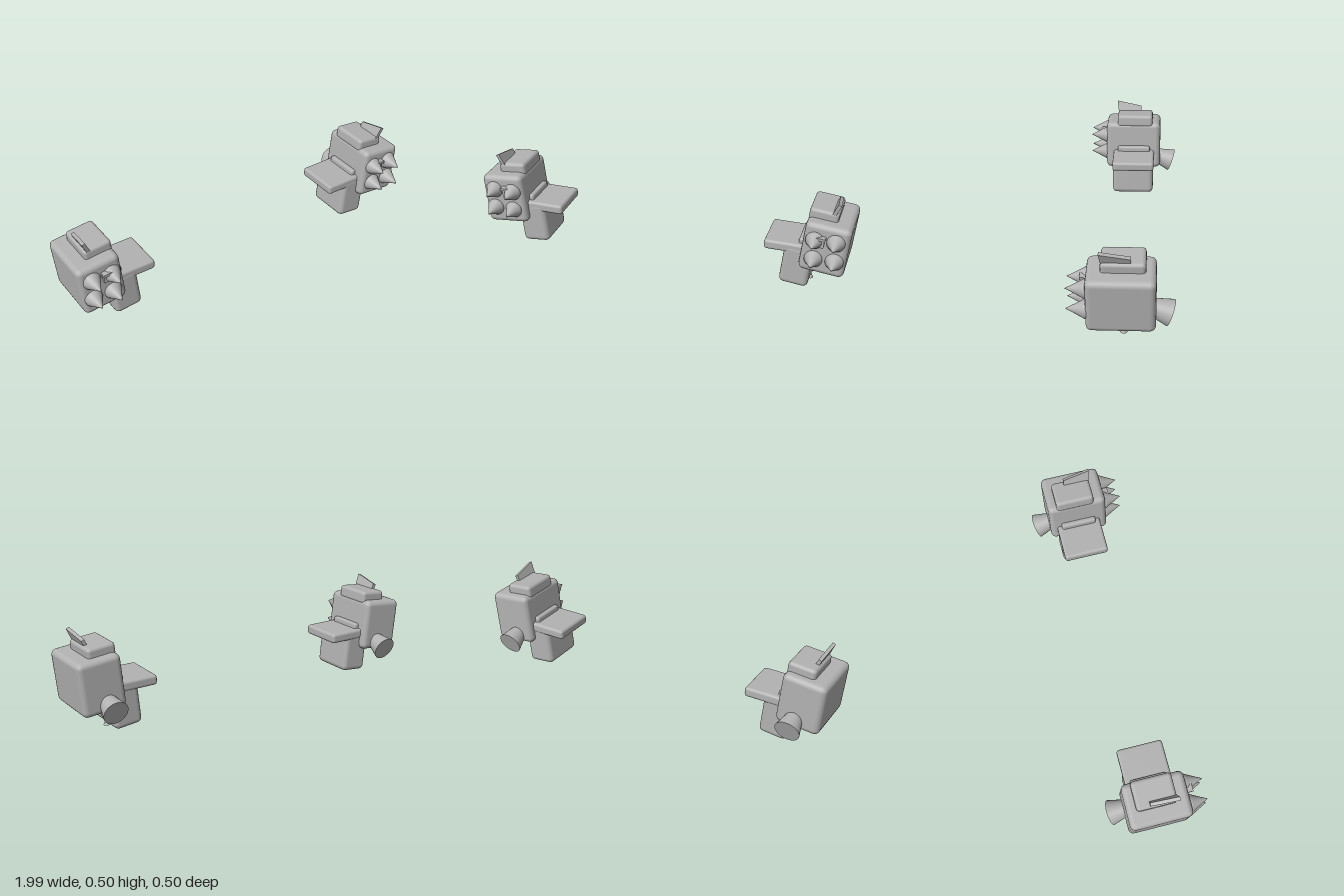
import * as THREE from 'three';
import { RoundedBoxGeometry } from 'three/addons/geometries/RoundedBoxGeometry.js';

const TILT = 0.1;

export function createModel() {
  const model = new THREE.Group();
  model.name = 'shoulderPods';
  const grey = new THREE.MeshStandardMaterial({ color: 0xb2b2b2 });
  grey.name = 'grey';

  // Builds one pod; s = 1 for the left (+x) side, -1 for the right
  function buildSide(s) {
    const side = new THREE.Group();
    side.name = s > 0 ? 'leftPod' : 'rightPod';

    const add = (name, geo, x, y, z, rz = 0) => {
      const mesh = new THREE.Mesh(geo, grey);
      mesh.name = name;
      mesh.position.set(s * x, y, z);
      mesh.rotation.z = s * rz;
      side.add(mesh);
      return mesh;
    };
    const box = (w, h, d, r) => new RoundedBoxGeometry(w, h, d, 2, r);

    // Launcher body with the raised cap on its roof
    add('launcherBody', box(0.23, 0.275, 0.318, 0.028), 0.868, 0.267, -0.002, -TILT);
    add('roofCap', box(0.148, 0.07, 0.206, 0.018), 0.843, 0.419, -0.011, -TILT);

    // Leaning roof fin, profile drawn in (z, y)
    const profile = new THREE.Shape([
      [-0.047, -0.01], [0.088, -0.01], [0.098, 0.07], [-0.046, 0.041],
    ].map(([z, y]) => new THREE.Vector2(z, y)));
    const fin = new THREE.ExtrudeGeometry(profile, { depth: 0.018, bevelEnabled: false });
    fin.translate(0, 0, -0.009).rotateY(-Math.PI / 2);
    add('roofFin', fin, 0.892, 0.436, 0, -0.4);

    // Four warheads on the front face
    const warhead = new THREE.LatheGeometry([
      [0.046, -0.02], [0.046, 0.012], [0.042, 0.018], [0.02, 0.06], [0, 0.1],
    ].map(([r, y]) => new THREE.Vector2(r, y)), 24).rotateX(Math.PI / 2);
    for (const x of [0.817, 0.922])
      for (const y of [0.216, 0.322]) add('warhead', warhead, x, y, 0.15);

    // Sensor bracket between the upper warheads
    add('sensorStem', new THREE.BoxGeometry(0.034, 0.05, 0.03), 0.85, 0.318, 0.16, -TILT);
    add('sensorHood', new THREE.BoxGeometry(0.046, 0.014, 0.045), 0.85, 0.344, 0.165, -TILT);

    // Exhaust flaring backwards and down
    const exhaust = new THREE.CylinderGeometry(0.065, 0.036, 0.115, 32);
    exhaust.rotateX(-Math.PI / 2 - 0.34);
    add('exhaust', exhaust, 0.84, 0.17, -0.173);

    // Arm block, shoulder plate and hinge bar
    add('armBlock', box(0.15, 0.225, 0.238, 0.026), 0.725, 0.126, -0.002, -TILT);
    add('shoulderPlate', box(0.21, 0.052, 0.24, 0.015), 0.66, 0.227, -0.005);
    add('hingeBar', box(0.036, 0.06, 0.19, 0.012), 0.745, 0.25, -0.005, -TILT);

    // Strut and small spike on the outer face of the arm block
    const strut = new THREE.LatheGeometry([
      [0, -0.055], [0.01, -0.045], [0.017, -0.02], [0.02, 0.01], [0.02, 0.06],
    ].map(([r, y]) => new THREE.Vector2(r, y)), 20);
    add('strut', strut, 0.802, 0.092, -0.009, -TILT);
    add('strutSpike', new THREE.ConeGeometry(0.018, 0.032, 20), 0.785, 0.02, -0.009, -TILT);
    return side;
  }

  model.add(buildSide(1), buildSide(-1));
  return model;
}
